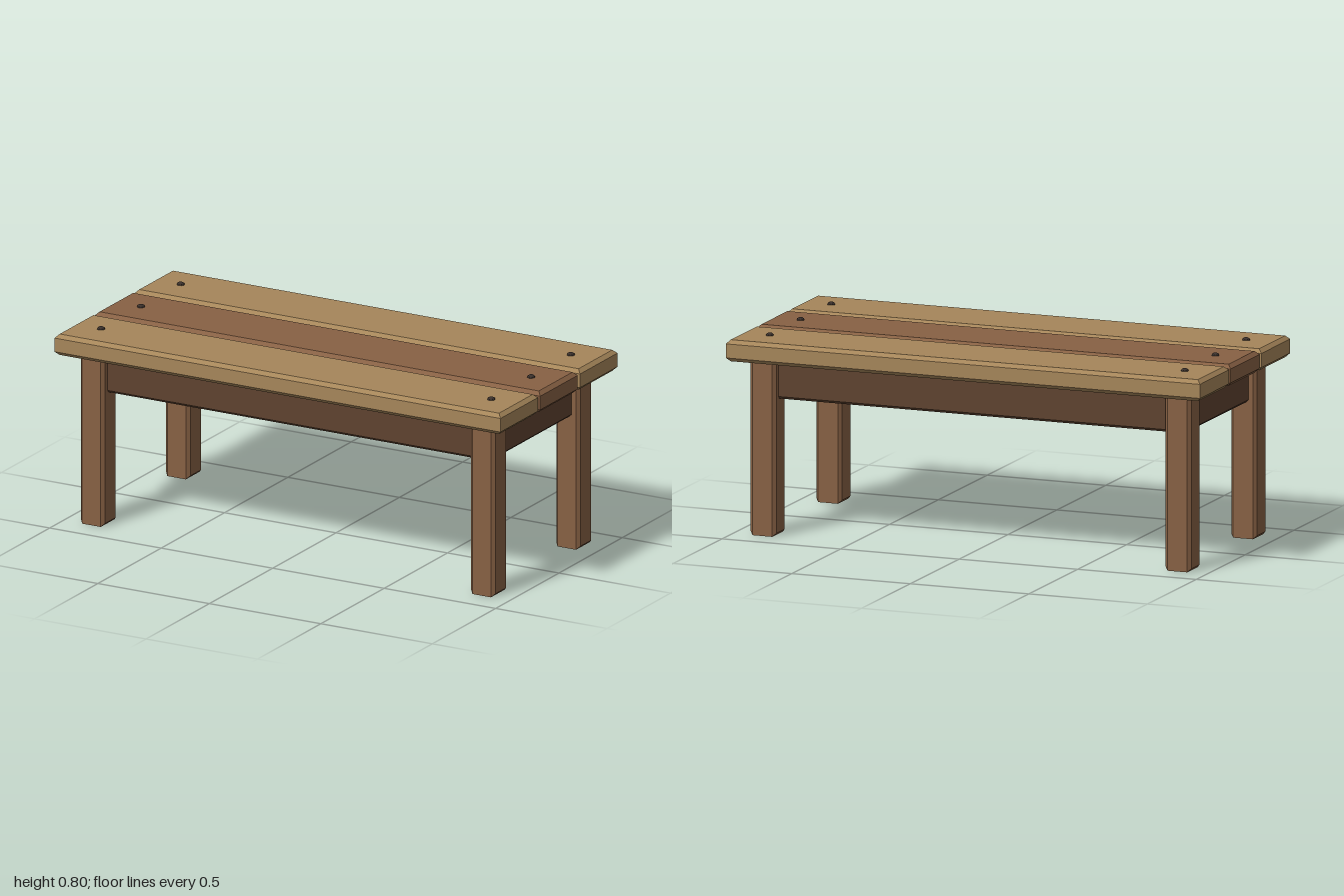
import * as THREE from 'three';

// Box sized w x h x d, chamfered by b around the two faces across the given axis
function beveledBox(w, h, d, b, axis) {
  const [u, v, depth] = axis === 'x' ? [d, h, w] : axis === 'y' ? [w, d, h] : [w, h, d];
  const x = u / 2 - b, y = v / 2 - b;
  const shape = new THREE.Shape([
    new THREE.Vector2(-x, -y), new THREE.Vector2(x, -y),
    new THREE.Vector2(x, y), new THREE.Vector2(-x, y),
  ]);
  const geo = new THREE.ExtrudeGeometry(shape, {
    depth: depth - 2 * b, bevelEnabled: true, bevelSize: b, bevelThickness: b, bevelSegments: 1,
  });
  geo.center();
  if (axis === 'x') geo.rotateY(Math.PI / 2);
  if (axis === 'y') geo.rotateX(-Math.PI / 2);
  return geo;
}

export function createModel() {
  const table = new THREE.Group();
  table.name = 'plankTable';

  const material = (name, color) => {
    const m = new THREE.MeshStandardMaterial({ color });
    m.name = name;
    return m;
  };
  const lightWood = material('lightWood', 0xa6865a);
  const midWood = material('midWood', 0x886144);
  const darkWood = material('darkWood', 0x5f4330);
  const iron = material('darkIron', 0x3a302b);

  const add = (name, geo, mat, x, y, z) => {
    const mesh = new THREE.Mesh(geo, mat);
    mesh.name = name;
    mesh.position.set(x, y, z);
    table.add(mesh);
  };

  const legX = 0.875, legZ = 0.336, plankZ = 0.314;

  // Three top planks, each with a bolt at both ends
  const plank = beveledBox(2, 0.086, 0.296, 0.015, 'y');
  const bolt = new THREE.SphereGeometry(0.016, 8, 3, 0, Math.PI * 2, 0, Math.PI / 2)
    .scale(1, 0.7, 1).toNonIndexed();
  bolt.computeVertexNormals();
  for (const [name, side] of [['back', -1], ['middle', 0], ['front', 1]]) {
    add(name + 'Plank', plank, side ? lightWood : midWood, 0, 0.742, side * plankZ);
    for (const sx of [-1, 1]) add(name + 'Bolt', bolt, iron, sx * legX, 0.785, side * plankZ);
  }

  // Four square legs
  const leg = beveledBox(0.109, 0.7, 0.109, 0.013, 'x');
  for (const sx of [-1, 1]) {
    for (const sz of [-1, 1]) {
      add((sz > 0 ? 'front' : 'back') + (sx > 0 ? 'Left' : 'Right') + 'Leg',
        leg, midWood, sx * legX, 0.35, sz * legZ);
    }
  }

  // Aprons joining the legs under the planks
  const longApron = beveledBox(1.66, 0.155, 0.046, 0.01, 'z');
  const endApron = beveledBox(0.046, 0.155, 0.58, 0.01, 'x');
  for (const s of [-1, 1]) {
    add(s > 0 ? 'frontApron' : 'backApron', longApron, darkWood, 0, 0.622, s * legZ);
    add(s > 0 ? 'leftApron' : 'rightApron', endApron, darkWood, s * legX, 0.622, 0);
  }

  return table;
}
